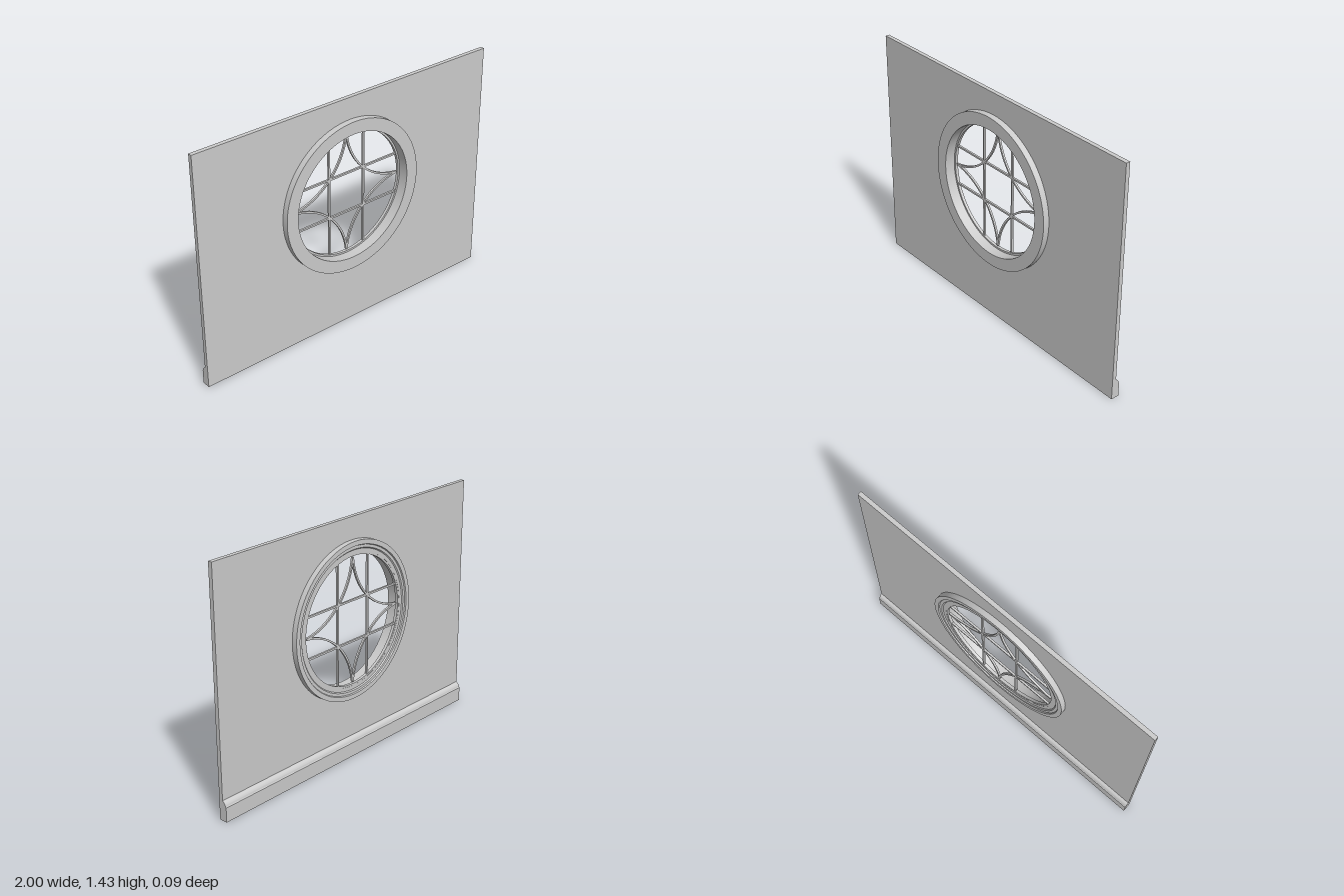
import * as THREE from 'three';
import { toCreasedNormals } from 'three/addons/utils/BufferGeometryUtils.js';

const CENTRE_Y = 0.835;
const BAR = 0.011; // width of the tracery bars
const BAR_Z = -0.03; // back of the tracery
const BAR_DEPTH = 0.012;

const material = new THREE.MeshStandardMaterial({ color: 0xcccccc });

function addPart(parent, name, geometry) {
  const mesh = new THREE.Mesh(geometry, material);
  mesh.name = name;
  parent.add(mesh);
  return mesh;
}

// Ring turned from a closed [radius, z] profile, facing z
function ring(profile) {
  const points = profile.map(([r, z]) => new THREE.Vector2(r, z));
  points.push(points[0].clone());
  const geometry = new THREE.LatheGeometry(points, 96);
  geometry.rotateX(Math.PI / 2);
  return toCreasedNormals(geometry, 0.5);
}

export function createModel() {
  const model = new THREE.Group();
  model.name = 'wallWithRoundWindow';

  // Wall panel with a round opening
  const wall = new THREE.Shape();
  wall.moveTo(-1, 0).lineTo(1, 0).lineTo(1, 1.43).lineTo(-1, 1.43).closePath();
  const hole = new THREE.Path();
  hole.absarc(0, CENTRE_Y, 0.42, 0, Math.PI * 2, true);
  wall.holes.push(hole);
  const wallGeometry = new THREE.ExtrudeGeometry(wall, { depth: 0.025, bevelEnabled: false, curveSegments: 48 });
  wallGeometry.translate(0, 0, -0.015);
  addPart(model, 'wall', wallGeometry);

  // Moulded skirting along the back, drawn in (z, y) and run along x
  const profile = new THREE.Shape();
  profile.moveTo(-0.014, 0).lineTo(-0.014, 0.122).lineTo(-0.018, 0.117);
  profile.quadraticCurveTo(-0.034, 0.108, -0.036, 0.09);
  profile.lineTo(-0.04, 0.086).lineTo(-0.04, 0).closePath();
  const skirting = new THREE.ExtrudeGeometry(profile, { depth: 2, bevelEnabled: false, curveSegments: 8 });
  skirting.rotateY(-Math.PI / 2);
  skirting.translate(1, 0, 0);
  addPart(model, 'skirting', toCreasedNormals(skirting, 0.5));

  const roundWindow = new THREE.Group();
  roundWindow.name = 'roundWindow';
  roundWindow.position.y = CENTRE_Y;
  model.add(roundWindow);

  // Surround, stepped on the back face
  addPart(roundWindow, 'surround', ring([
    [0.39, -0.034], [0.412, -0.034], [0.418, -0.04], [0.434, -0.04], [0.438, -0.047],
    [0.465, -0.047], [0.465, 0.047], [0.39, 0.047],
  ]));

  // Thin sash ring that holds the tracery
  addPart(roundWindow, 'sashRing', ring([
    [0.379, -0.033], [0.392, -0.033], [0.392, -0.015], [0.379, -0.015],
  ]));

  const tracery = new THREE.Group();
  tracery.name = 'tracery';
  roundWindow.add(tracery);

  // Two upright and two level glazing bars
  const offset = 0.122;
  const length = 2 * Math.sqrt(0.385 ** 2 - offset ** 2);
  for (const side of [-1, 1]) {
    const z = BAR_Z + BAR_DEPTH / 2;
    addPart(tracery, 'uprightBar', new THREE.BoxGeometry(BAR, length, BAR_DEPTH))
      .position.set(side * offset, 0, z);
    addPart(tracery, 'levelBar', new THREE.BoxGeometry(length, BAR, BAR_DEPTH))
      .position.set(0, side * offset, z);
  }

  // Four-pointed star made of four inward arcs
  const k = 0.414, radius = 0.416, tip = 0.105;
  const start = Math.PI + tip, end = Math.PI * 1.5 - tip;
  const arc = new THREE.Shape();
  arc.absarc(k, k, radius + BAR / 2, start, end, false);
  arc.absarc(k, k, radius - BAR / 2, end, start, true);
  arc.closePath();
  const arcGeometry = new THREE.ExtrudeGeometry(arc, { depth: BAR_DEPTH, bevelEnabled: false, curveSegments: 12 });
  arcGeometry.translate(0, 0, BAR_Z);
  for (let i = 0; i < 4; i++) {
    addPart(tracery, 'starArc', arcGeometry).rotation.z = i * Math.PI / 2;
  }

  return model;
}
